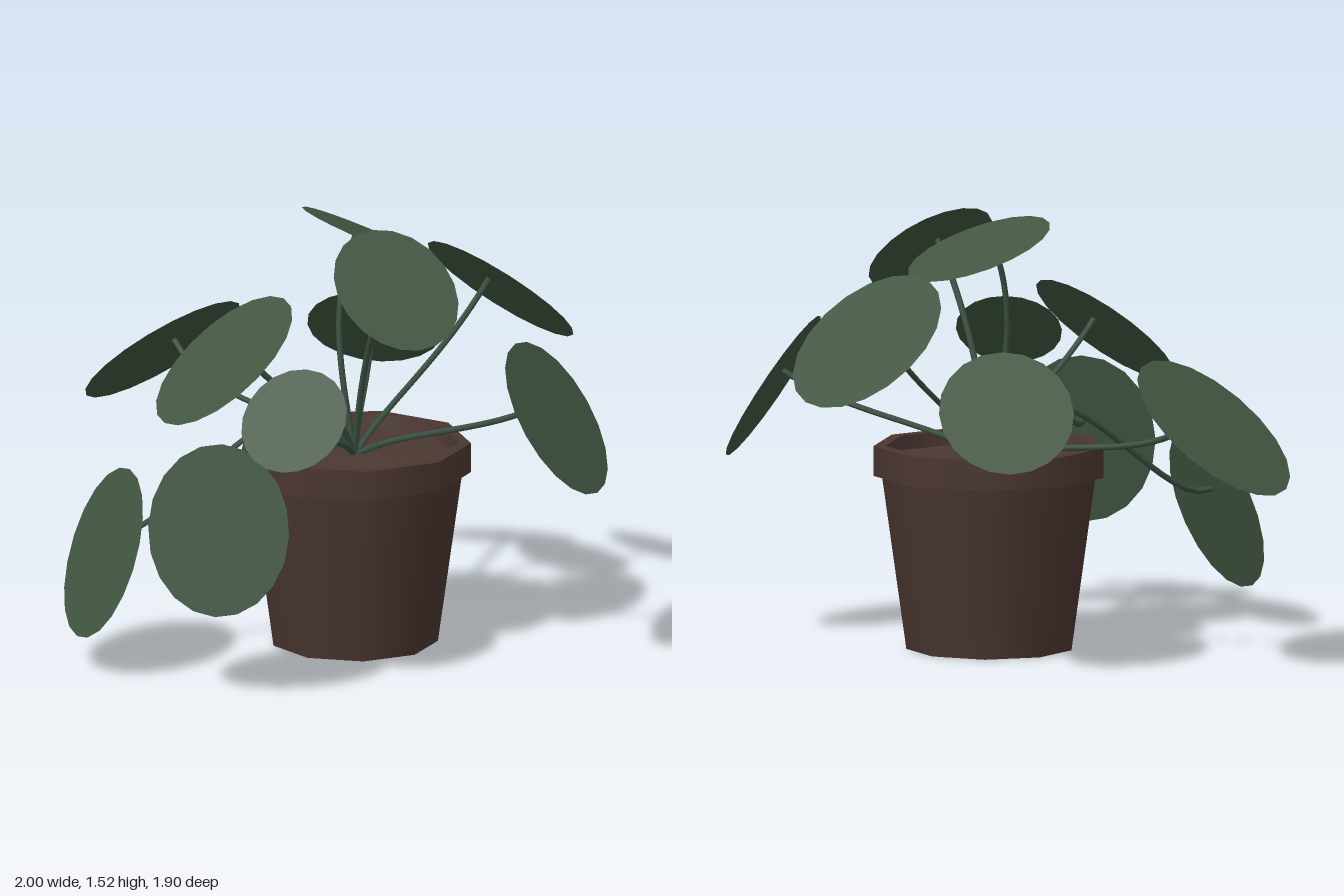
import * as THREE from 'three';

const leafMat = new THREE.MeshStandardMaterial({ color: 0x425642, side: THREE.DoubleSide });
leafMat.name = 'leaf green';
const stemMat = new THREE.MeshStandardMaterial({ color: 0x3a5041 });
stemMat.name = 'stem green';
const potMat = new THREE.MeshStandardMaterial({ color: 0x4a3631, side: THREE.DoubleSide });
potMat.name = 'pot brown';
const soilMat = new THREE.MeshStandardMaterial({ color: 0x4b3832 });
soilMat.name = 'soil brown';

const SIDES = 9;
const POT = new THREE.Vector3(0.07, 0, -0.024);
const ROOT = new THREE.Vector3(0.07, 0.66, -0.03);

// One band of the nine-sided pot; separate bands keep the rims sharp.
function band(name, profile, material) {
  const points = profile.map(([r, y]) => new THREE.Vector2(r, y));
  const mesh = new THREE.Mesh(new THREE.LatheGeometry(points, SIDES, Math.PI), material);
  mesh.name = name;
  mesh.position.copy(POT);
  return mesh;
}

// Oval leaf falling towards azimuth az, dropped by tilt, plus its bent stem.
function leafWithStem({ c, a, az, tilt, twist = 0, lift = 0.15, bend = 0.28 }) {
  const rad = THREE.MathUtils.degToRad;
  const f = rad(az), t = rad(tilt), k = rad(twist);
  const down = new THREE.Vector3(Math.cos(f) * Math.cos(t), -Math.sin(t), Math.sin(f) * Math.cos(t));
  const side = new THREE.Vector3(-Math.sin(f), 0, Math.cos(f));
  const normal = side.clone().cross(down).normalize();
  const long = down.clone().applyAxisAngle(normal, -k);
  const wide = side.clone().applyAxisAngle(normal, -k);
  const centre = new THREE.Vector3(...c);

  const leaf = new THREE.Mesh(new THREE.CircleGeometry(1, 20), leafMat);
  leaf.name = 'leaf';
  leaf.quaternion.setFromRotationMatrix(new THREE.Matrix4().makeBasis(wide, long, normal));
  leaf.scale.set(a * 0.84, a, 1);
  leaf.position.copy(centre);

  // the stem meets the underside a little above the middle
  const tip = centre.clone().addScaledVector(down, -0.22 * a);
  const p2 = tip.clone().addScaledVector(normal, -bend);
  const p1 = ROOT.clone().lerp(p2, 0.33).setY(ROOT.y + lift);
  const path = new THREE.CubicBezierCurve3(ROOT, p1, p2, tip);
  const stem = new THREE.Mesh(new THREE.TubeGeometry(path, 20, 0.011, 6), stemMat);
  stem.name = 'stem';

  const group = new THREE.Group();
  group.name = 'leafWithStem';
  group.add(leaf, stem);
  return group;
}

const LEAVES = [
  { c: [-0.74, 0.855, -0.54], a: 0.336, az: 211, tilt: 39.8, lift: 0.12 },
  { c: [-0.03, 0.93, -0.74], a: 0.28, az: -97, tilt: 41 },
  { c: [0.467, 1.15, -0.548], a: 0.319, az: -53, tilt: 40, lift: 0.16, bend: 0.35 },
  { c: [0.833, 0.89, 0.137], a: 0.296, az: 12, tilt: 57.7, lift: 0.12 },
  { c: [0.1, 1.42, -0.155], a: 0.266, az: -35, tilt: 24, twist: 45, lift: 0.25, bend: 0.3 },
  { c: [0.295, 1.355, 0.283], a: 0.262, az: 53, tilt: 39.4, lift: 0.2, bend: 0.35 },
  { c: [-0.313, 1.07, 0.313], a: 0.304, az: 139, tilt: 40 },
  { c: [-0.687, 0.417, 0.55], a: 0.307, az: 143, tilt: 71, lift: 0.52, bend: 0.24 },
  { c: [-0.203, 0.607, 0.847], a: 0.303, az: 92, tilt: 81, lift: 0.48, bend: 0.32 },
  { c: [0.05, 1.0, 0.777], a: 0.22, az: 91, tilt: 40 },
];

export function createModel() {
  const model = new THREE.Group();
  model.name = 'pottedPlant';

  const pot = new THREE.Group();
  pot.name = 'pot';
  pot.add(
    band('potBase', [[0, 0], [0.292, 0]], potMat),
    band('potWall', [[0.292, 0], [0.378, 0.615]], potMat),
    band('rimUnderside', [[0.37, 0.61], [0.407, 0.61]], potMat),
    band('rimSide', [[0.407, 0.61], [0.407, 0.715]], potMat),
    band('rimTop', [[0.407, 0.715], [0.365, 0.715]], potMat),
    band('rimInside', [[0.365, 0.715], [0.355, 0.66]], potMat),
    band('soil', [[0.358, 0.665], [0, 0.675]], soilMat),
  );
  model.add(pot);

  for (const spec of LEAVES) model.add(leafWithStem(spec));
  return model;
}
